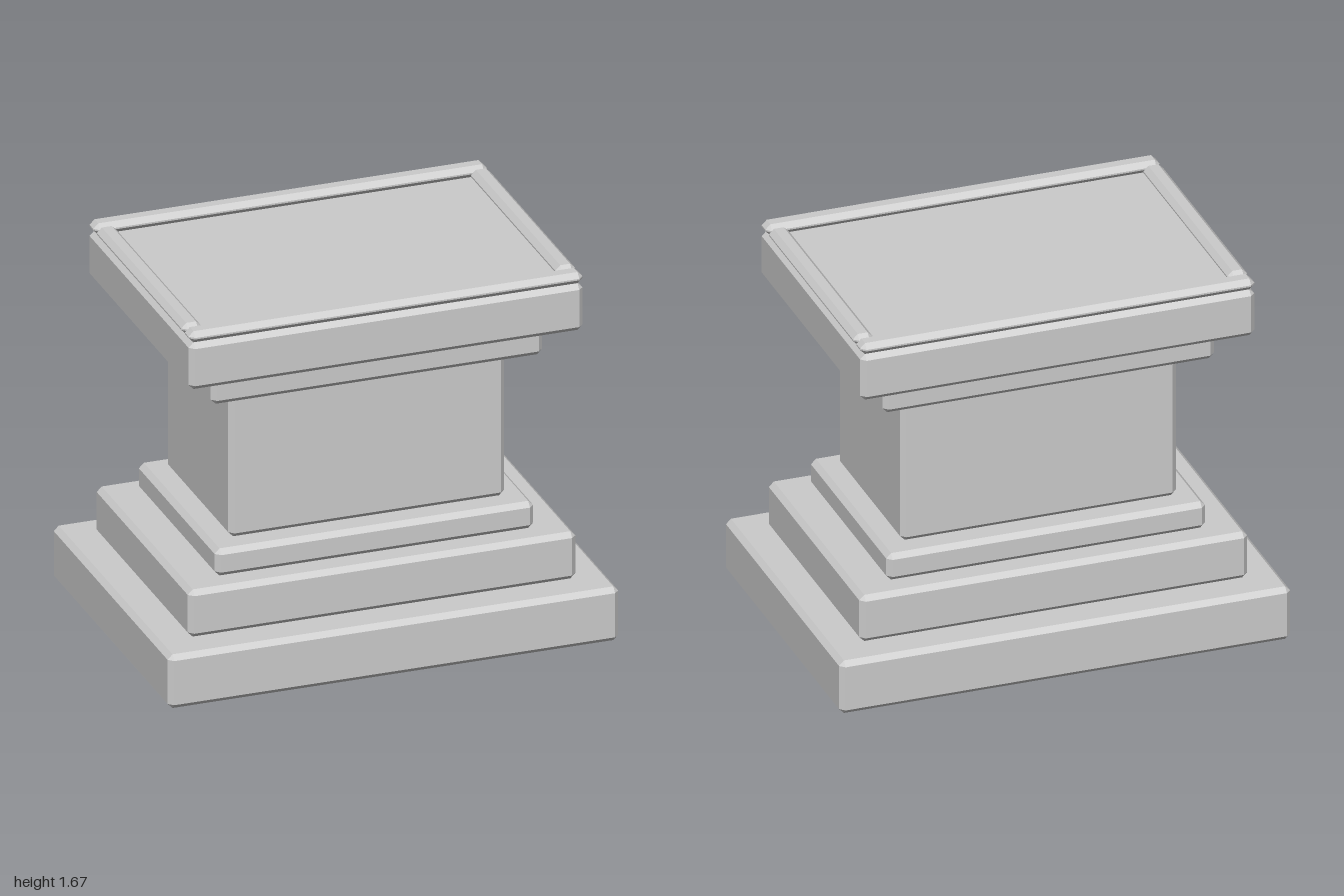
import * as THREE from 'three';
import { ConvexGeometry } from 'three/addons/geometries/ConvexGeometry.js';

const BEVEL = 0.022;

// Box with chamfered edges: each corner becomes three points, one per adjoining face
function chamferedBox(w, h, d, c = BEVEL) {
  const points = [];
  for (const sx of [-1, 1]) for (const sy of [-1, 1]) for (const sz of [-1, 1]) {
    for (let face = 0; face < 3; face++) {
      points.push(new THREE.Vector3(
        sx * (w / 2 - (face === 0 ? 0 : c)),
        sy * (h / 2 - (face === 1 ? 0 : c)),
        sz * (d / 2 - (face === 2 ? 0 : c))
      ));
    }
  }
  return new ConvexGeometry(points);
}

export function createModel() {
  const group = new THREE.Group();
  const stone = new THREE.MeshStandardMaterial({ color: 0xcccccc, flatShading: true });

  const add = (name, w, h, d, x, y, z) => {
    const mesh = new THREE.Mesh(chamferedBox(w, h, d), stone);
    mesh.name = name;
    mesh.position.set(x, y, z);
    group.add(mesh);
  };

  // Stacked courses: name, half width, half depth, bottom, top
  const courses = [
    ['basePlinth', 1.0, 0.706, 0, 0.246],
    ['middleStep', 0.86, 0.569, 0.246, 0.462],
    ['upperStep', 0.707, 0.477, 0.462, 0.586],
    ['shaft', 0.612, 0.383, 0.586, 1.266],
    ['neckMoulding', 0.735, 0.507, 1.266, 1.403],
    ['topSlab', 0.874, 0.617, 1.403, 1.617],
  ];
  for (const [name, hw, hd, y0, y1] of courses) {
    add(name, hw * 2, y1 - y0, hd * 2, 0, (y0 + y1) / 2, 0);
  }

  // Raised rim around the slab: long bars front and back, short bars between them
  const rimHeight = 0.051, rimY = 1.617 + rimHeight / 2, barWidth = 0.088;
  for (const s of [1, -1]) {
    add(s > 0 ? 'frontRim' : 'backRim', 1.748, rimHeight, barWidth, 0, rimY, s * (0.617 - barWidth / 2));
    add(s > 0 ? 'leftRim' : 'rightRim', barWidth, rimHeight, 1.058, s * (0.874 - barWidth / 2), rimY, 0);
  }

  return group;
}
